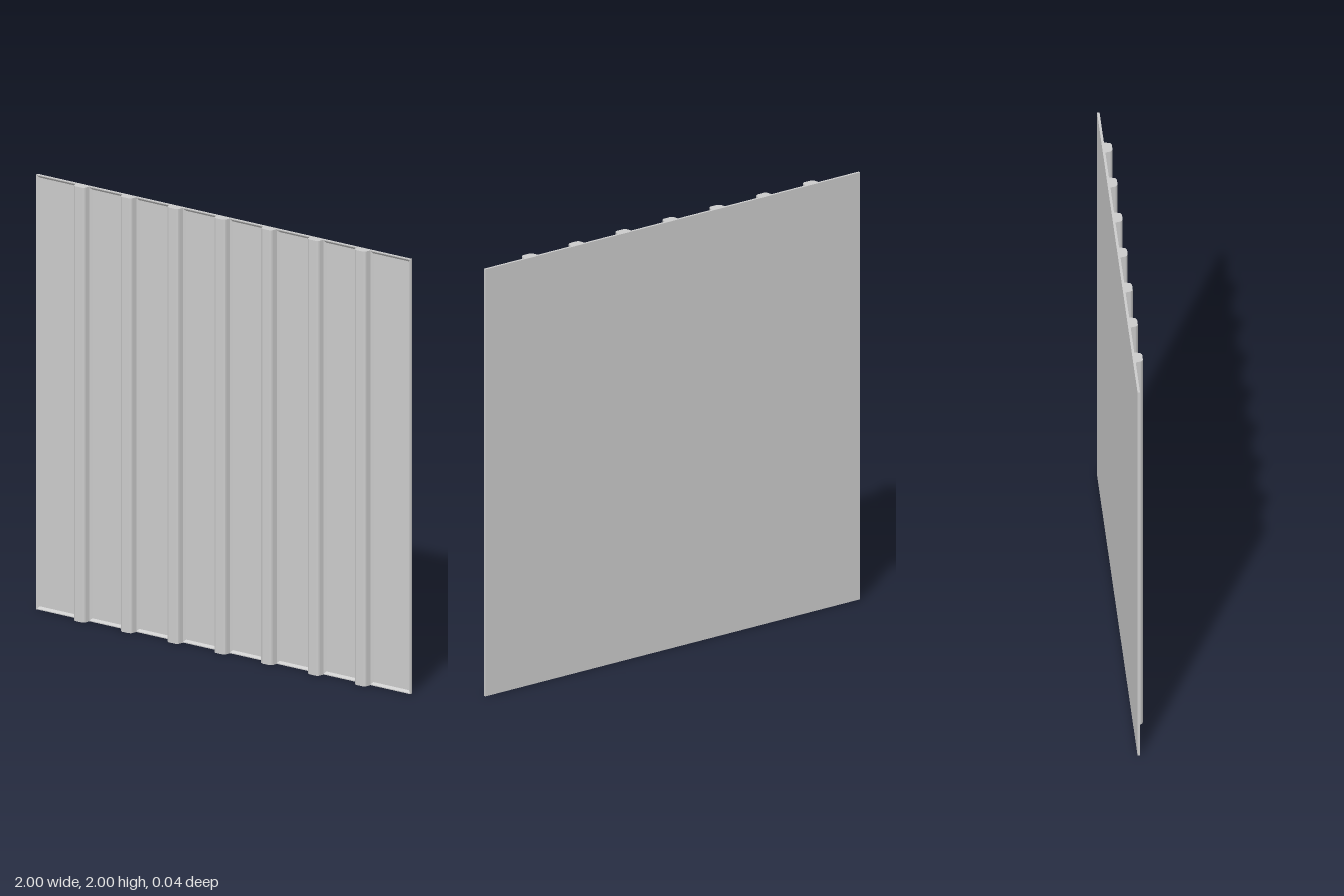
import * as THREE from 'three';

export function createModel() {
  const group = new THREE.Group();
  const material = new THREE.MeshStandardMaterial({ color: 0xcccccc, flatShading: true });

  // Square sheet with a thin raised rim: a four-sided lathe of half-width / depth pairs
  const profile = [
    [0, -0.022], [1, -0.022], [1, -0.011], [0.996, -0.011], [0.986, -0.019], [0, -0.019],
  ].map(([r, z]) => new THREE.Vector2(r * Math.SQRT2, z));
  const sheetGeometry = new THREE.LatheGeometry(profile, 4, Math.PI / 4);
  sheetGeometry.rotateX(Math.PI / 2);
  const sheet = new THREE.Mesh(sheetGeometry, material);
  sheet.name = 'backSheet';
  sheet.position.y = 1;
  group.add(sheet);

  // Tapered rib section, mirrored about its middle
  const half = [[0.047, -0.02], [0.036, -0.011], [0.031, 0.01], [0.028, 0.016], [0.018, 0.022]];
  const outline = [
    ...half.map(([x, z]) => new THREE.Vector2(x, z)),
    ...half.map(([x, z]) => new THREE.Vector2(-x, z)).reverse(),
  ];
  const ribGeometry = new THREE.ExtrudeGeometry(new THREE.Shape(outline), {
    depth: 2, bevelEnabled: false,
  });
  ribGeometry.rotateX(Math.PI / 2).translate(0, 2, 0);

  // Seven evenly spaced upright ribs
  for (let i = -3; i <= 3; i++) {
    const rib = new THREE.Mesh(ribGeometry, material);
    rib.name = `rib${i + 4}`;
    rib.position.x = i * 0.25;
    group.add(rib);
  }
  return group;
}
